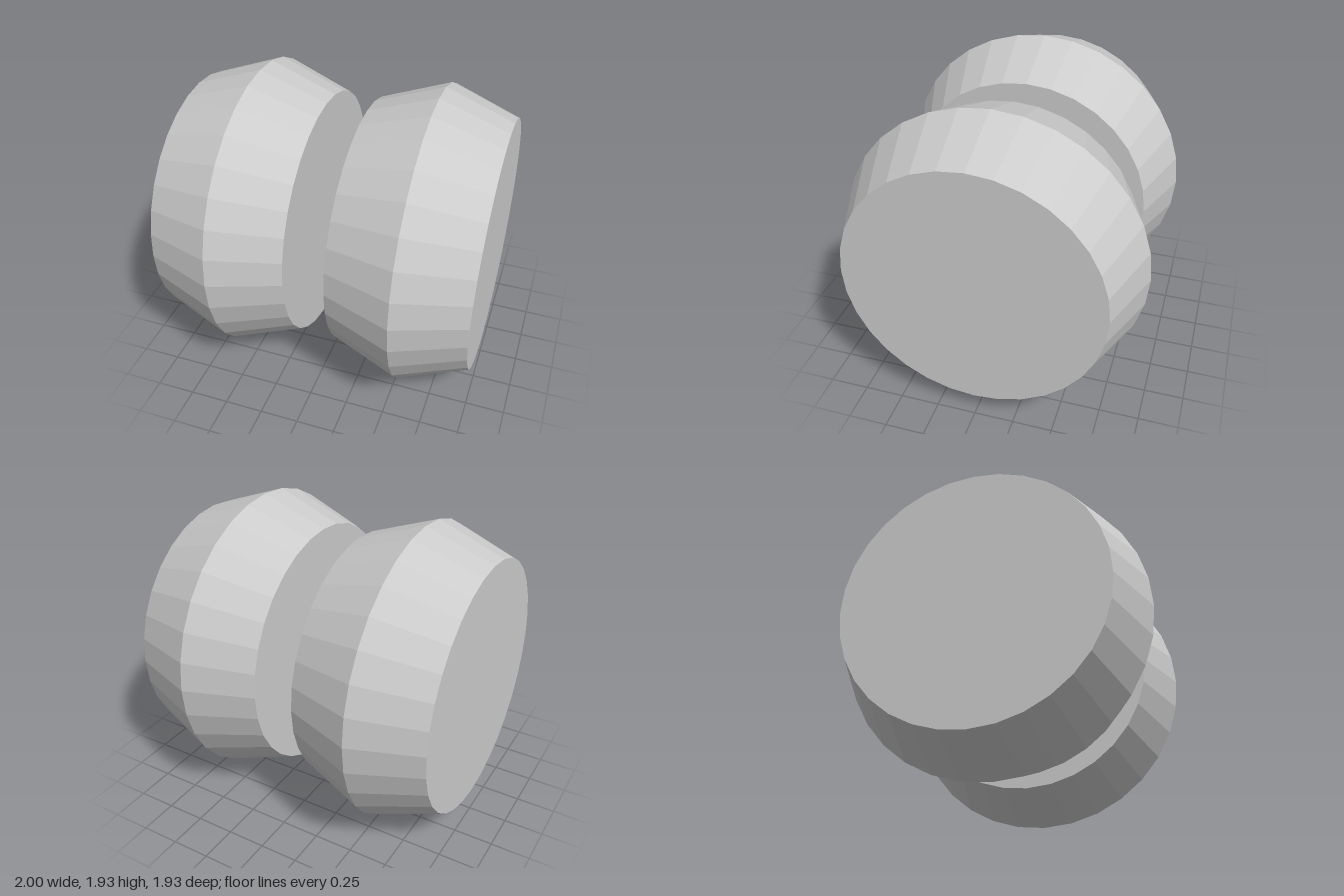
import * as THREE from 'three';

const RIM = 0.965;      // radius at the middle ridge
const FACE = 0.808;     // radius of the flat end faces
const HALF = 0.435;     // half the width of one drum
const OFFSET = 0.565;   // distance of each drum from the centre
const SIDES = 32;

export function createModel() {
  const group = new THREE.Group();
  const material = new THREE.MeshStandardMaterial({ color: 0xcccccc, flatShading: true });

  // Double-tapered drum profile, turned so its axis runs along x
  const profile = [[0, -HALF], [FACE, -HALF], [RIM, 0], [FACE, HALF], [0, HALF]]
    .map(([r, y]) => new THREE.Vector2(r, y));
  const geometry = new THREE.LatheGeometry(profile, SIDES).rotateZ(Math.PI / 2);

  // Matching pair of drums, side by side with an open gap
  for (const [name, side] of [['leftDrum', 1], ['rightDrum', -1]]) {
    const drum = new THREE.Mesh(geometry, material);
    drum.name = name;
    drum.position.set(side * OFFSET, RIM, 0);
    group.add(drum);
  }
  return group;
}
